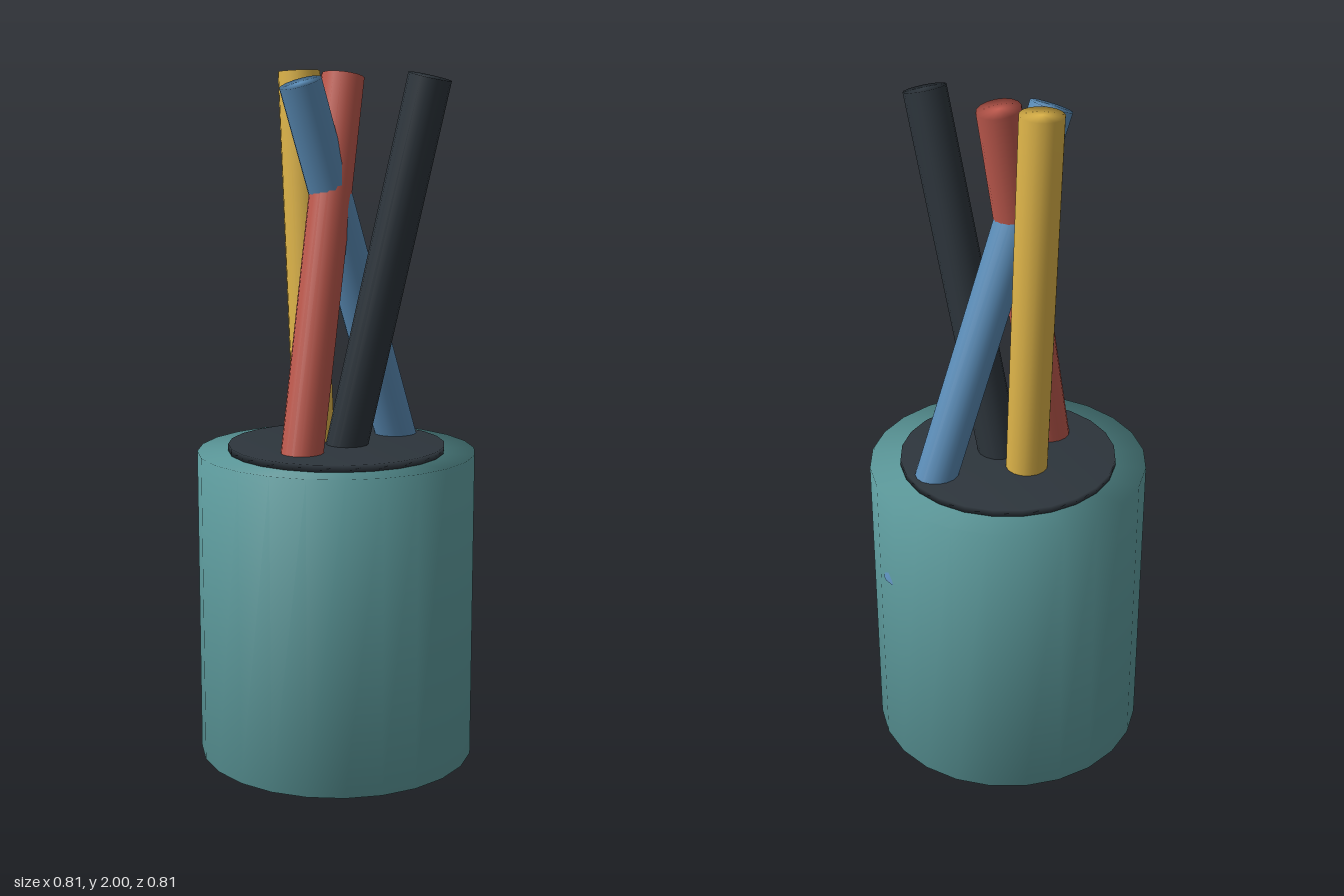
import * as THREE from 'three';
import { mergeVertices } from 'three/addons/utils/BufferGeometryUtils.js';

const material = (name, color) => {
  const m = new THREE.MeshStandardMaterial({ color });
  m.name = name;
  return m;
};

// Cylinder whose normals are smoothed across the rims as well as the sides
function smoothCylinder(radius, height, sides) {
  const g = new THREE.CylinderGeometry(radius, radius, height, sides);
  g.deleteAttribute('normal');
  g.deleteAttribute('uv');
  const merged = mergeVertices(g);
  merged.computeVertexNormals();
  return merged;
}

export function createModel() {
  const group = new THREE.Group();
  group.name = 'pencilCup';

  const teal = material('teal', 0x5f9ea0);
  const charcoal = material('charcoal', 0x2d353c);
  const yellow = material('yellow', 0xe0b64a);
  const red = material('red', 0xc05a4e);
  const blue = material('blue', 0x5b8db8);

  const add = (name, geometry, mat) => {
    const mesh = new THREE.Mesh(geometry, mat);
    mesh.name = name;
    group.add(mesh);
    return mesh;
  };

  // Cup body and the dark opening on top
  add('cup', smoothCylinder(0.407, 0.91, 24), teal).position.y = 0.455;
  add('opening', smoothCylinder(0.317, 0.02, 24), charcoal).position.y = 0.92;

  // Leaning pencils: centre of the top end and horizontal lean per unit of height
  const length = 1.45;
  const up = new THREE.Vector3(0, 1, 0);
  const pencils = [
    ['yellowPencil', yellow, [-0.14, 1.997, -0.039], [-0.05, -0.015]],
    ['redPencil', red, [0.003, 1.983, -0.036], [0.024, -0.198]],
    ['bluePencil', blue, [-0.048, 1.96, 0.127], [-0.135, 0.333]],
    ['darkPencil', charcoal, [0.286, 1.976, 0], [0.24, 0]],
  ];
  for (const [name, mat, top, [leanX, leanZ]] of pencils) {
    const axis = new THREE.Vector3(leanX, 1, leanZ).normalize();
    const mesh = add(name, smoothCylinder(0.061, length, 16), mat);
    mesh.quaternion.setFromUnitVectors(up, axis);
    mesh.position.set(...top).addScaledVector(axis, -length / 2);
  }
  return group;
}
